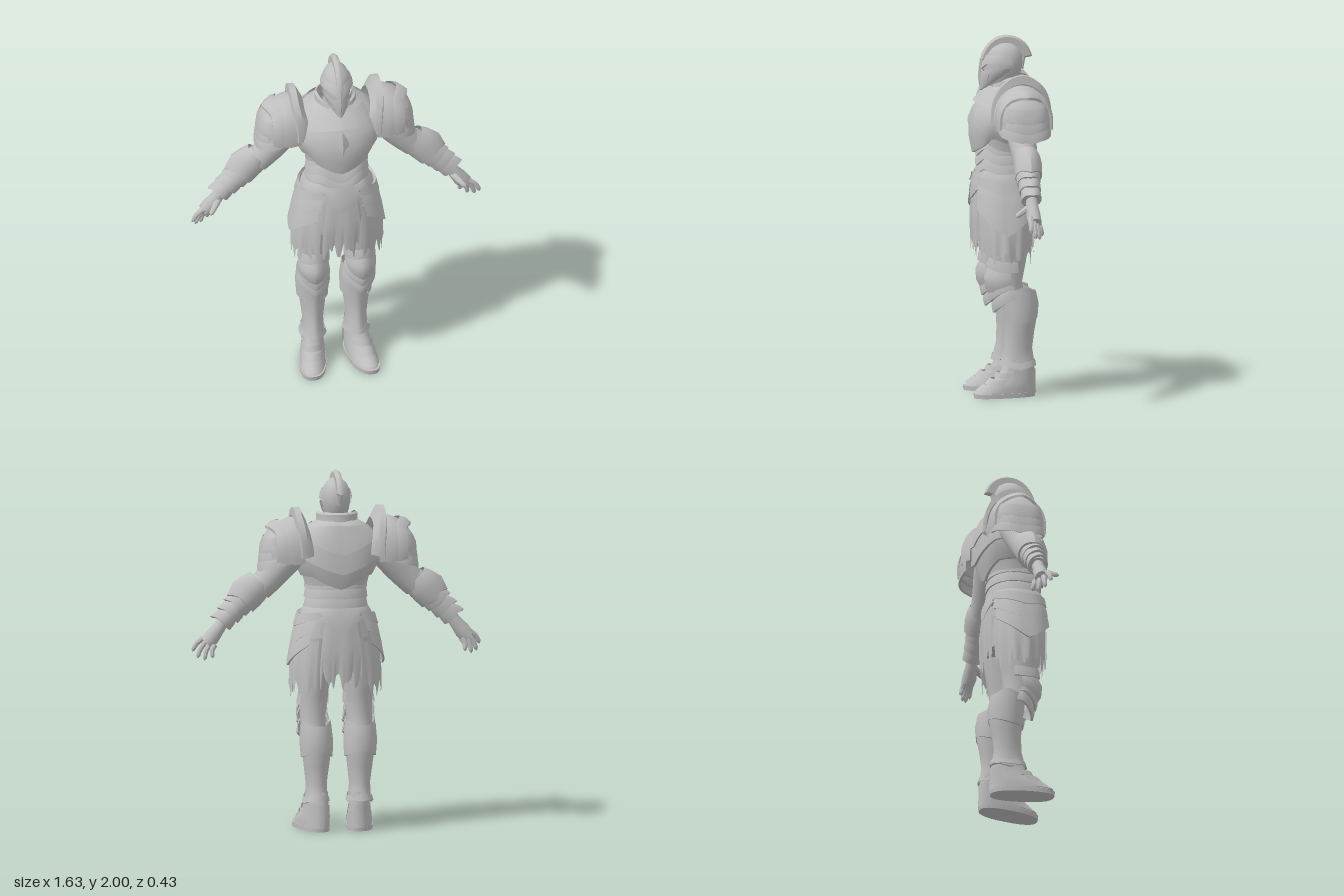
import * as THREE from 'three';
import { toCreasedNormals } from 'three/addons/utils/BufferGeometryUtils.js';

const PI = Math.PI;
const Z = new THREE.Vector3(0, 0, 1);
const steel = new THREE.MeshStandardMaterial({ color: 0xbebebe, side: THREE.DoubleSide });
steel.name = 'steel grey';

const spow = (s, p) => Math.sign(s) * Math.abs(s) ** p;
// tent-shaped bump, 1 at angle c and 0 beyond width w
const tent = (t, c, w) => Math.max(0, 1 - Math.abs(t - c) / w);
// angle measured away from the back centre
const back = (t) => PI - Math.abs(t);

// Skin over elliptical rings [x, y, z, a, b]; angle 0 faces +z, PI/2 faces u.
// edge shifts a point along the axis, shape scales the ring, lip turns the first ring inward.
function loft(rows, { t0 = -PI, t1 = PI, seg = 32, u = [1, 0, 0], pow = 1, shape = () => 1, edge = () => 0, lip = 0, cap = false } = {}) {
  const U = new THREE.Vector3(...u).normalize(), D = Z.clone().cross(U);
  const list = rows.map((r, i) => ({ r, k: i / (rows.length - 1) }));
  const ring = ([x, y, z, a, b], s) => [x, y, z, Math.max(0, a - s), Math.max(0, b - s)];
  if (lip) list.unshift({ r: ring(rows[0], lip), k: 0 });
  if (cap) {
    list.unshift({ r: ring(rows[0], 9), k: 0 });
    list.push({ r: ring(rows.at(-1), 9), k: 1 });
  }
  const pos = [], idx = [], p = new THREE.Vector3();
  list.forEach(({ r, k }, i) => {
    for (let j = 0; j <= seg; j++) {
      const t = t0 + (t1 - t0) * j / seg, m = shape(t, k);
      p.set(r[0], r[1], r[2]).addScaledVector(U, r[3] * m * spow(Math.sin(t), pow))
        .addScaledVector(Z, r[4] * m * spow(Math.cos(t), pow)).addScaledVector(D, edge(t, k));
      pos.push(p.x, p.y, p.z);
      if (i && j) {
        const c = i * (seg + 1) + j, b = c - seg - 1;
        if (list[i - 1].r[3] > 0) idx.push(b - 1, b, c);
        if (r[3] > 0) idx.push(b - 1, c, c - 1);
      }
    }
  });
  const g = new THREE.BufferGeometry();
  g.setAttribute('position', new THREE.Float32BufferAttribute(pos, 3));
  g.setIndex(idx);
  return g;
}

function flat(geo) {
  const g = geo.index ? geo.toNonIndexed() : geo.clone();
  g.deleteAttribute('uv');
  return g;
}

function mirrored(geo) {
  const g = flat(geo), a = g.attributes.position.array;
  for (let i = 0; i < a.length; i += 9) {
    for (let c = 0; c < 3; c++) [a[i + 3 + c], a[i + 6 + c]] = [a[i + 6 + c], a[i + 3 + c]];
    for (let c = 0; c < 9; c += 3) a[i + c] *= -1;
  }
  return g;
}

export function createModel() {
  const model = new THREE.Group();
  model.name = 'armouredKnight';
  const add = (name, geo) => {
    const m = new THREE.Mesh(toCreasedNormals(flat(geo), 0.75), steel);
    m.name = name;
    model.add(m);
  };
  const pair = (name, geo) => {
    add(name + 'Left', geo);
    add(name + 'Right', mirrored(geo));
  };
  // rounded bar through points, tapering from r0 to r1
  const bar = (pts, r0, r1) => {
    const v = pts.map((q) => new THREE.Vector3(...q)), n = 8;
    const curve = new THREE.CatmullRomCurve3(v);
    const g = new THREE.TubeGeometry(curve, n, 1, 8), p = g.attributes.position, c = new THREE.Vector3(), q = new THREE.Vector3();
    for (let i = 0; i < p.count; i++) {
      const t = Math.floor(i / 9) / n;
      curve.getPointAt(t, c);
      q.fromBufferAttribute(p, i).sub(c).multiplyScalar(t === 1 ? 0.002 : r0 + (r1 - r0) * t).add(c);
      p.setXYZ(i, q.x, q.y, q.z);
    }
    return g;
  };

  // torso
  add('abdomen', loft([[0, 1.08, 0.01, 0.19, 0.15], [0, 1.2, 0.015, 0.175, 0.14], [0, 1.32, 0.01, 0.16, 0.13], [0, 1.42, 0.005, 0.185, 0.15], [0, 1.5, 0, 0.2, 0.16]], { pow: 0.9 }));
  const keel = (t) => 1 + 0.07 * tent(t, 0, 0.6) - 0.03 * tent(back(t), 0, 0.3);
  add('breastplate', loft([[0, 1.42, 0.01, 0.2, 0.165], [0, 1.47, 0.005, 0.225, 0.183], [0, 1.54, 0, 0.24, 0.19], [0, 1.6, -0.015, 0.235, 0.18], [0, 1.66, -0.03, 0.21, 0.155], [0, 1.7, -0.035, 0.165, 0.13], [0, 1.73, -0.03, 0.11, 0.095]],
    { seg: 48, pow: 0.85, shape: keel, lip: 0.015, edge: (t, k) => (1 - k) ** 3 * (-0.07 * tent(t, 0, 0.9) - 0.07 * tent(back(t), 0, 0.8) + 0.03 * tent(Math.abs(t), 1.1, 0.4)) }));
  add('upperChestPlate', loft([[0, 1.61, -0.012, 0.222, 0.181], [0, 1.665, -0.026, 0.197, 0.158], [0, 1.71, -0.03, 0.15, 0.13]],
    { t0: -1.2, t1: 1.2, pow: 0.85, shape: keel, lip: 0.012, edge: (t, k) => (1 - k) * 0.03 * tent(t, 0, 1) }));
  for (let i = 0; i < 2; i++) {
    add('backPlate', loft([[0, 1.49 + i * 0.11, -0.012 - i * 0.014, 0.24 - i * 0.008, 0.195 - i * 0.008], [0, 1.58 + i * 0.07, -0.02 - i * 0.01, 0.238 - i * 0.02, 0.185 - i * 0.015], [0, 1.64 + i * 0.07, -0.03, 0.215 - i * 0.055, 0.165 - i * 0.02]],
      { t0: PI - 1.15, t1: PI + 1.15, pow: 0.85, lip: 0.014, edge: (t, k) => (1 - k) * (0.03 - 0.08 * tent(t, PI, 0.9)) }));
  }
  const gem = new THREE.ConeGeometry(0.06, 0.025, 4).rotateX(PI / 2).scale(0.8, 1.5, 1).rotateX(-0.12).translate(0, 1.54, 0.2);
  add('chestDiamond', gem);
  for (let i = 0; i < 3; i++) {
    add('abdomenBand', loft([[0, 1.24 + i * 0.055, 0.015, 0.178 - i * 0.002, 0.15], [0, 1.285 + i * 0.055, 0.012, 0.17, 0.143], [0, 1.31 + i * 0.055, 0.01, 0.158, 0.13]],
      { seg: 40, pow: 0.9, lip: 0.01, edge: (t) => 0.035 * tent(Math.abs(t), 0.7, 0.5) - 0.02 * tent(t, 0, 0.4) }));
  }

  // neck and gorget
  add('neck', loft([[0, 1.62, -0.02, 0.085, 0.085], [0, 1.8, 0, 0.06, 0.065]]));
  add('collar', loft([[0, 1.67, -0.02, 0.125, 0.12], [0, 1.72, -0.02, 0.115, 0.11], [0, 1.765, -0.025, 0.115, 0.105], [0, 1.775, -0.025, 0.103, 0.093]],
    { t0: 0.35, t1: 2 * PI - 0.35, edge: (t, k) => -0.05 * k * tent(t > PI ? 2 * PI - t : t, 0.35, 1) }));
  add('throatRing', loft([[0, 1.665, -0.01, 0.135, 0.13], [0, 1.7, -0.02, 0.132, 0.122], [0, 1.715, -0.02, 0.115, 0.105]], { edge: (t) => -0.02 * tent(t, 0, 0.8) + 0.015 * tent(back(t), 0, 1) }));

  // helmet
  const nose = (t) => 1 + 0.12 * tent(t, 0, 0.7);
  add('helmetSkull', loft([[0, 1.72, 0.035, 0.045, 0.075], [0, 1.78, 0.012, 0.072, 0.095], [0, 1.84, 0.005, 0.08, 0.102], [0, 1.89, 0.003, 0.076, 0.098], [0, 1.93, 0, 0.056, 0.075], [0, 1.955, 0, 0.025, 0.04], [0, 1.96, 0, 0, 0]], { shape: nose }));
  add('helmetBrow', loft([[0, 1.835, 0.01, 0.09, 0.117], [0, 1.865, 0.008, 0.087, 0.113], [0, 1.895, 0.004, 0.077, 0.1]],
    { t0: -1.9, t1: 1.9, shape: nose, lip: 0.012, edge: (t, k) => (1 - k) * (0.02 * tent(Math.abs(t), 1, 0.9) - 0.025 * tent(t, 0, 0.5)) }));
  add('helmetFacePlate', loft([[0, 1.71, 0.05, 0.045, 0.083], [0, 1.75, 0.035, 0.07, 0.098], [0, 1.8, 0.02, 0.085, 0.11], [0, 1.822, 0.014, 0.087, 0.112]],
    { t0: -1.9, t1: 1.9, shape: nose, lip: 0.01, edge: (t, k) => (1 - k) * (0.05 * tent(Math.abs(t), 1.9, 1.4) - 0.015 * tent(t, 0, 0.5)) - k * 0.02 * tent(Math.abs(t), 0.45, 0.4) }));
  add('noseGuard', bar([[0, 1.87, 0.13], [0, 1.8, 0.142], [0, 1.72, 0.143]], 0.012, 0.006));
  for (let i = 0; i < 3; i++) pair('breathBar', bar([[0.022 + i * 0.016, 1.79, 0.131 - i * 0.014], [0.016 + i * 0.011, 1.73, 0.135 - i * 0.01]], 0.005, 0.003));
  const crest = new THREE.Shape();
  crest.moveTo(0.13, 1.87);
  crest.bezierCurveTo(0.11, 1.95, 0.05, 1.99, 0, 1.99);
  crest.bezierCurveTo(-0.07, 1.99, -0.12, 1.95, -0.14, 1.885);
  crest.lineTo(-0.105, 1.88);
  crest.lineTo(-0.095, 1.82);
  crest.lineTo(0, 1.86);
  add('helmetCrest', new THREE.ExtrudeGeometry(crest, { depth: 0.004, bevelThickness: 0.016, bevelSize: 0.01, bevelSegments: 1, curveSegments: 10 }).translate(0, 0, -0.002).rotateY(-PI / 2));

  // shoulders
  const up = { u: [0, 1, 0] };
  pair('pauldronDome', loft([[0.435, 1.57, -0.05, 0.02, 0.04], [0.42, 1.565, -0.05, 0.07, 0.09], [0.39, 1.56, -0.05, 0.12, 0.125], [0.33, 1.555, -0.05, 0.17, 0.148], [0.27, 1.55, -0.05, 0.197, 0.155], [0.21, 1.55, -0.05, 0.19, 0.145]],
    { ...up, t0: -0.2, t1: PI + 0.2, pow: 0.9, shape: (t) => 1 + 0.04 * tent(t, PI / 2, 0.5) }));
  pair('pauldronBand', loft([[0.37, 1.555, -0.05, 0.152, 0.147], [0.34, 1.555, -0.05, 0.178, 0.158], [0.31, 1.55, -0.05, 0.19, 0.158]],
    { ...up, t0: -0.2, t1: PI + 0.2, pow: 0.9, lip: 0.014, edge: (t) => -0.04 * tent(t, PI / 2, 0.6) }));
  pair('pauldronRidge', loft([[0.26, 1.55, -0.05, 0.2, 0.157], [0.255, 1.56, -0.05, 0.235, 0.168], [0.22, 1.56, -0.05, 0.235, 0.166], [0.185, 1.56, -0.045, 0.17, 0.14]],
    { ...up, t0: -0.05, t1: PI + 0.05, pow: 0.85, shape: (t) => 1 + 0.05 * tent(t, PI / 2, 0.5), edge: (t) => 0.025 * tent(t, 0, 1) + 0.025 * tent(t, PI, 1) }));
  for (let i = 0; i < 3; i++) {
    const y = 1.5 + i * 0.05, s = i * 0.006;
    pair('pauldronLame', loft([[0.325, y, -0.05, 0.132 - s, 0.146 - s], [0.33, y + 0.035, -0.05, 0.122 - s, 0.143 - s], [0.335, y + 0.065, -0.05, 0.1 - s, 0.13 - s]],
      { u: [0.96, -0.28, 0], t0: -0.35, t1: PI + 0.35, seg: 24, pow: 0.85, lip: 0.012, edge: (t, k) => -0.012 * (1 - k) * tent(t, PI / 2, 0.5) }));
  }

  // arms
  const arm = { u: [0.7, 0.71, 0], seg: 24 };
  pair('upperArm', loft([[0.44, 1.35, -0.035, 0.07, 0.066], [0.4, 1.395, -0.035, 0.078, 0.07], [0.35, 1.45, -0.035, 0.084, 0.078], [0.29, 1.52, -0.04, 0.09, 0.085], [0.22, 1.58, -0.045, 0.08, 0.085]], arm));
  pair('forearm', loft([[0.65, 1.17, -0.03, 0.045, 0.045], [0.6, 1.225, -0.03, 0.052, 0.053], [0.53, 1.29, -0.035, 0.07, 0.065], [0.47, 1.34, -0.035, 0.078, 0.068], [0.42, 1.39, -0.035, 0.068, 0.06]], { ...arm, cap: true }));
  pair('elbowGuard', loft([[0.535, 1.285, -0.035, 0.083, 0.075], [0.495, 1.335, -0.038, 0.092, 0.078], [0.46, 1.37, -0.038, 0.085, 0.075], [0.435, 1.395, -0.035, 0.074, 0.068]],
    { ...arm, lip: 0.012, shape: (t, k) => 1 + 0.2 * tent(t, PI / 2, 0.7) * tent(k, 0.4, 0.6), edge: (t, k) => (1 - k) * -0.035 * tent(t, PI / 2, 0.9) }));
  for (let i = 0; i < 3; i++) {
    const d = i * 0.042;
    pair('bracerBand', loft([[0.65 - d, 1.17 + d, -0.03, 0.062 + i * 0.005, 0.056 + i * 0.004], [0.625 - d, 1.197 + d, -0.03, 0.06 + i * 0.006, 0.056 + i * 0.005], [0.6 - d, 1.222 + d, -0.03, 0.05 + i * 0.007, 0.051 + i * 0.006]],
      { ...arm, lip: 0.012, shape: (t, k) => 1 + 0.18 * (1 - k) * tent(t, PI / 2, 0.7), edge: (t) => -0.02 * tent(t, PI / 2, 0.8) }));
  }
  // hands
  pair('palm', loft([[0.735, 1.055, -0.035, 0.04, 0.036], [0.705, 1.09, -0.03, 0.045, 0.04], [0.665, 1.14, -0.03, 0.036, 0.034], [0.64, 1.18, -0.03, 0.035, 0.032]], { ...arm, seg: 16, cap: true }));
  const tips = [[0.81, 1.01, 0.0], [0.787, 0.975, -0.03], [0.752, 0.965, -0.058], [0.71, 0.98, -0.08]];
  tips.forEach(([x, y, z], i) => {
    const root = [0.745 - i * 0.016, 1.085 - i * 0.012, -0.005 - i * 0.018];
    pair('finger', bar([root, [(root[0] + x) / 2 + 0.008, (root[1] + y) / 2 + 0.006, (root[2] + z) / 2], [x, y, z]], 0.017, 0.011));
  });
  pair('thumb', bar([[0.66, 1.13, -0.015], [0.69, 1.11, 0.03], [0.72, 1.09, 0.07]], 0.022, 0.012));

  // belt and hips
  add('belt', loft([[0, 1.17, 0.015, 0.205, 0.172], [0, 1.215, 0.015, 0.196, 0.168], [0, 1.245, 0.015, 0.178, 0.15]],
    { seg: 48, pow: 0.9, lip: 0.015, shape: (t) => 1 + 0.05 * tent(t, 0, 0.4), edge: (t, k) => 0.02 * tent(Math.abs(t), 0.75, 0.4) - (1 - k) * (0.075 * tent(t, 0, 0.55) + 0.06 * tent(back(t), 0, 0.5)) }));
  add('hips', loft([[0, 0.92, 0.01, 0.2, 0.14], [0, 1.05, 0.01, 0.2, 0.15], [0, 1.2, 0.01, 0.19, 0.15]], { pow: 0.9, cap: true }));
  // torn cloth panels
  const torn = (t, k) => (1 - k) ** 2 * (0.03 * Math.sin(t * 23) + 0.022 * Math.sin(t * 41 + 1) + 0.012 * Math.sin(t * 71));
  const fold = (t, k) => 1 + 0.025 * (1 - k) * Math.sin(t * 14);
  const cloth = (t0, t1, y, s = 0) => loft([[0, y, 0.012, 0.255 + s, 0.16 + s], [0, y + 0.1, 0.012, 0.256 + s, 0.168 + s], [0, 1.02, 0.012, 0.242 + s, 0.172 + s], [0, 1.2, 0.012, 0.195, 0.16]], { t0, t1, seg: 48, pow: 0.95, edge: torn, shape: fold });
  add('frontCloth', cloth(-0.4, 0.4, 0.83, 0.008));
  add('backCloth', cloth(PI - 0.45, PI + 0.45, 0.84, 0.004));
  pair('sideCloth', cloth(0.47, 2.6, 0.79));
  // layered hip plates, the lowest drawn to a point
  for (let i = 0; i < 3; i++) {
    const y = 1.0 + i * 0.065, s = i * 0.018;
    pair('hipPlate', loft([[0, y, 0.015, 0.272 - s, 0.19 - s * 0.4], [0, y + 0.07, 0.015, 0.254 - s, 0.185 - s * 0.4], [0, 1.2, 0.012, 0.205, 0.17]],
      { t0: 0.5 - i * 0.04, t1: 2.45 + i * 0.1, lip: 0.012, pow: 0.9, edge: (t, k) => (1 - k) * (0.05 - (0.14 - i * 0.045) * tent(t, 1.5, 1)) }));
  }

  // legs
  pair('thigh', loft([[0.13, 0.54, -0.02, 0.066, 0.075], [0.13, 0.64, 0.01, 0.072, 0.08], [0.125, 0.75, 0.012, 0.08, 0.105], [0.122, 0.9, 0.01, 0.092, 0.125], [0.11, 1.08, 0, 0.1, 0.135]], { seg: 24 }));
  const shin = (t) => 1 + 0.08 * tent(t, 0, 0.5);
  pair('greave', loft([[0.123, 0.17, -0.052, 0.07, 0.098], [0.122, 0.21, -0.05, 0.06, 0.088], [0.122, 0.27, -0.053, 0.058, 0.076], [0.122, 0.36, -0.06, 0.07, 0.08], [0.122, 0.45, -0.066, 0.082, 0.09], [0.124, 0.53, -0.06, 0.087, 0.096], [0.125, 0.59, -0.05, 0.082, 0.092]],
    { shape: shin, lip: 0.015, edge: (t, k) => 0.03 * k * tent(Math.abs(t), 1.8, 0.9) - 0.02 * (1 - k) * tent(Math.abs(t), 1.6, 0.8) }));
  pair('ankleBand', loft([[0.123, 0.175, -0.05, 0.076, 0.102], [0.122, 0.205, -0.05, 0.068, 0.095]], { shape: shin, lip: 0.012, edge: (t) => -0.015 * tent(Math.abs(t), 1.6, 0.9) }));
  pair('calfPlate', loft([[0.122, 0.41, -0.065, 0.088, 0.094], [0.124, 0.5, -0.064, 0.093, 0.1], [0.125, 0.59, -0.052, 0.086, 0.097]],
    { t0: 0.7, t1: 2 * PI - 0.7, lip: 0.012, edge: (t, k) => (1 - k) * 0.04 * tent(t, PI, 1.6) }));
  // knee cop with chevron plates below and one above
  pair('kneeCop', loft([[0.133, 0.585, 0.02, 0.07, 0.085], [0.133, 0.625, 0.02, 0.084, 0.11], [0.133, 0.67, 0.02, 0.086, 0.115], [0.131, 0.71, 0.02, 0.075, 0.095]],
    { t0: -1.7, t1: 1.7, shape: (t, k) => 1 + 0.1 * tent(t, 0, 0.8) * tent(k, 0.5, 0.6), edge: (t, k) => (k - 0.5) * 0.05 * tent(t, 0, 0.8) }));
  [[0.555, 0.01, 0.092], [0.495, -0.01, 0.094]].forEach(([y, z, r]) => {
    pair('kneeChevron', loft([[0.128, y, z, r, r], [0.13, y + 0.04, z + 0.012, r - 0.006, r - 0.002], [0.13, y + 0.075, z + 0.015, r - 0.02, r - 0.015]],
      { t0: -1.75, t1: 1.75, shape: shin, lip: 0.012, edge: (t) => 0.05 - 0.075 * tent(t, 0, 1.4) }));
  });
  pair('thighGuard', loft([[0.13, 0.7, 0.012, 0.088, 0.118], [0.128, 0.735, 0.012, 0.086, 0.116], [0.126, 0.76, 0.012, 0.082, 0.108]],
    { t0: -2, t1: 2, lip: 0.012, edge: (t) => 0.03 * tent(t, 0, 1.2) }));

  // boots, toes turned slightly outward
  const boot = (rows, opt) => {
    const g = loft(rows, opt), p = g.attributes.position;
    for (let i = 0; i < p.count; i++) p.setX(i, p.getX(i) + 0.16 * p.getZ(i));
    return g;
  };
  pair('sole', boot([[0.132, 0, 0.028, 0.075, 0.175], [0.132, 0.025, 0.028, 0.076, 0.178]], { pow: 0.8, cap: true }));
  pair('boot', boot([[0.132, 0.02, 0.026, 0.071, 0.172], [0.132, 0.05, 0.015, 0.071, 0.16], [0.132, 0.08, -0.015, 0.067, 0.13], [0.13, 0.11, -0.035, 0.062, 0.11], [0.13, 0.15, -0.05, 0.058, 0.095], [0.13, 0.22, -0.055, 0.055, 0.08]], { pow: 0.88 }));
  for (let i = 0; i < 3; i++) {
    pair('bootPlate', boot([[0.132, 0.035 + i * 0.035, 0.026 - i * 0.03, 0.075 - i * 0.003, 0.17 - i * 0.023], [0.132, 0.07 + i * 0.033, 0 - i * 0.018, 0.072 - i * 0.004, 0.147 - i * 0.018]],
      { t0: -1.3, t1: 1.3, seg: 20, pow: 0.88, lip: 0.01, edge: (t) => 0.01 * tent(t, 0, 0.8) }));
  }
  pair('heelGuard', boot([[0.132, 0.02, 0.0, 0.073, 0.152], [0.13, 0.08, -0.03, 0.069, 0.12], [0.13, 0.15, -0.05, 0.063, 0.1]], { t0: PI - 1.1, t1: PI + 1.1, seg: 20, pow: 0.88 }));
  return model;
}
